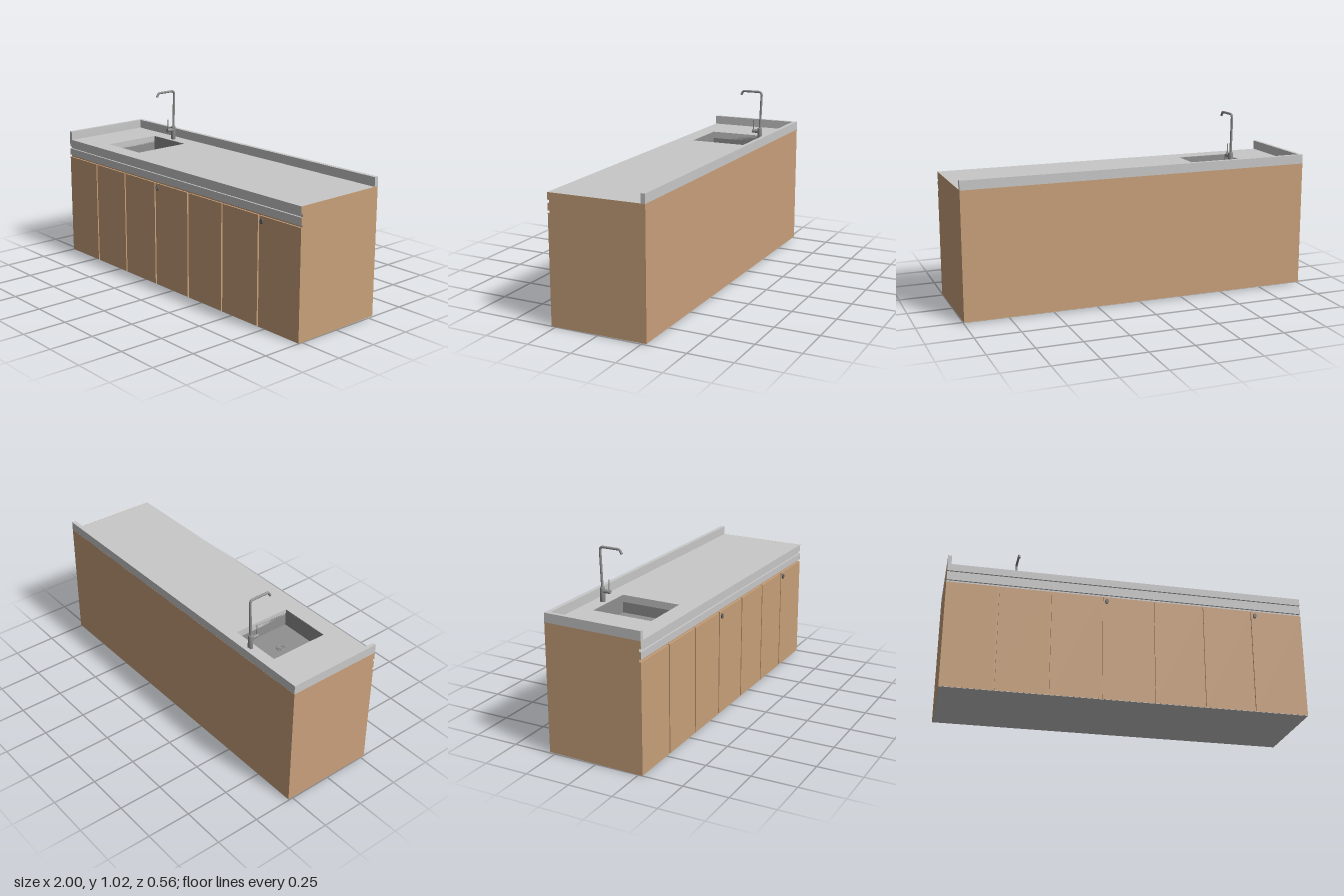
import * as THREE from 'three';

const mat = (name, color, extra = {}) => Object.assign(new THREE.MeshStandardMaterial({ color, ...extra }), { name });

export function createModel() {
  const group = new THREE.Group();
  group.name = 'sinkUnit';
  const wood = mat('wood', 0xc8a07a);
  const worktop = mat('worktop grey', 0xc8c8c8);
  const steel = mat('steel', 0x909090);
  const dark = mat('dark metal', 0x606060);

  // The whole unit rises slightly towards the back
  const shear = new THREE.Matrix4().set(1, 0, 0, 0, 0, 1, -0.011, 0.003, 0, 0, 1, 0, 0, 0, 0, 1);
  const add = (name, geo, material) => {
    geo.applyMatrix4(shear);
    geo.computeBoundingSphere();
    const mesh = new THREE.Mesh(geo, material);
    mesh.name = name;
    group.add(mesh);
    return mesh;
  };
  // Box given by its limits
  const box = (name, m, x0, x1, y0, y1, z0, z1) => add(name,
    new THREE.BoxGeometry(x1 - x0, y1 - y0, z1 - z0)
      .translate((x0 + x1) / 2, (y0 + y1) / 2, (z0 + z1) / 2), m);

  const T = 0.712, F = 0.275, R = 0.265, B = -0.28, E = 0.9985;

  // Worktop slab with the sink cut-out
  const sx0 = -0.724, sx1 = -0.428, sz0 = -0.17, sz1 = 0.175;
  const top = new THREE.Shape([[-E, -F], [E, -F], [E, 0.278], [-E, 0.278]].map(p => new THREE.Vector2(...p)));
  top.holes.push(new THREE.Path([[sx0, -sz1], [sx0, -sz0], [sx1, -sz0], [sx1, -sz1]].map(p => new THREE.Vector2(...p))));
  add('worktop', new THREE.ExtrudeGeometry(top, { depth: 0.04, bevelEnabled: false })
    .rotateX(-Math.PI / 2).translate(0, T - 0.04, 0), worktop);

  // Upstands along the back and the right end
  box('backUpstand', worktop, -1, 1, T, T + 0.051, B, -0.256);
  box('endUpstand', worktop, -1, -0.979, T, T + 0.051, -0.256, F);

  // Grey front rail between two finger grooves
  box('grooveBacking', worktop, -E, E, 0.609, T - 0.04, 0.25, R);
  box('frontRail', worktop, -E, E, 0.617, 0.656, R, F);

  // End panels with the groove profile
  const profile = [[B, 0], [F, 0], [F, 0.603], [R, 0.603], [R, 0.617], [F, 0.617], [F, 0.656],
    [R, 0.656], [R, 0.672], [F, 0.672], [F, T], [B, T]];
  for (const side of [-1, 1]) {
    const shape = new THREE.Shape(profile.map(([z, y]) => new THREE.Vector2(-z, y)));
    add(side > 0 ? 'leftEndPanel' : 'rightEndPanel',
      new THREE.ExtrudeGeometry(shape, { depth: 0.0015, bevelEnabled: false })
        .rotateY(Math.PI / 2).translate(side > 0 ? E : -1, 0, 0), wood);
  }

  // Carcass
  box('backPanel', wood, -E, E, 0.002, T - 0.0005, B, -0.2785);
  box('frontCarcass', wood, -E, E, 0.002, 0.609, 0.25, R);
  box('base', worktop, -E, E, 0, 0.002, B, F - 0.001);

  // Seven doors
  const seams = [-1, -0.719, -0.434, -0.15, 0.139, 0.42, 0.7, 1];
  for (let i = 0; i < 7; i++) {
    box('door' + (i + 1), wood, i ? seams[i] + 0.005 : -E, i < 6 ? seams[i + 1] - 0.005 : E,
      0.002, 0.603, R, F);
  }

  // Locks
  for (const x of [-0.125, 0.725]) {
    add('lock', new THREE.CylinderGeometry(0.01, 0.01, 0.008, 20).rotateX(Math.PI / 2)
      .scale(1, 1.4, 1).translate(x, 0.577, F + 0.004), dark);
    box('lockSlot', steel, x - 0.002, x + 0.002, 0.57, 0.584, F + 0.008, F + 0.009);
  }

  // Sink basin
  const sb = 0.612, w = 0.004;
  box('basinFloor', steel, sx0 - w, sx1 + w, sb - w, sb, sz0 - w, sz1 + w);
  box('basinWallRight', steel, sx0 - w, sx0, sb, T - 0.002, sz0, sz1);
  box('basinWallLeft', steel, sx1, sx1 + w, sb, T - 0.002, sz0, sz1);
  box('basinWallBack', steel, sx0, sx1, sb, T - 0.002, sz0 - w, sz0 + 0.001);
  box('basinWallFront', steel, sx0, sx1, sb, T - 0.002, sz1 - 0.001, sz1 + w);

  // Drain
  const fx = -0.576;
  add('drainRing', new THREE.TorusGeometry(0.021, 0.004, 8, 32).rotateX(Math.PI / 2).translate(fx, sb + 0.001, 0.01), steel);
  add('drainPlug', new THREE.CylinderGeometry(0.012, 0.012, 0.004, 24).translate(fx, sb + 0.002, 0.01), steel);

  // Tap body, neck and lever
  const fz = -0.203;
  add('tapBody', new THREE.LatheGeometry([[0, 0], [0.014, 0], [0.014, 0.076], [0.011, 0.081], [0, 0.081]]
    .map(p => new THREE.Vector2(...p)), 24).translate(fx, T, fz), steel);
  const v = (y, z) => new THREE.Vector3(fx, y, z);
  const path = new THREE.CurvePath();
  path.add(new THREE.LineCurve3(v(0.78, fz), v(0.988, -0.211)));
  path.add(new THREE.QuadraticBezierCurve3(v(0.988, -0.211), v(1.01, -0.212), v(1.01, -0.19)));
  path.add(new THREE.LineCurve3(v(1.01, -0.19), v(1.01, -0.102)));
  path.add(new THREE.QuadraticBezierCurve3(v(1.01, -0.102), v(1.01, -0.093), v(1.004, -0.089)));
  path.add(new THREE.LineCurve3(v(1.004, -0.089), v(0.987, -0.079)));
  add('tapNeck', new THREE.TubeGeometry(path, 80, 0.0068, 14, false), steel);
  add('tapOutlet', new THREE.CircleGeometry(0.0068, 14).rotateX(1.04).translate(fx, 0.987, -0.079), steel)
    .material = mat('steel outlet', 0x909090, { side: THREE.DoubleSide });
  add('leverHub', new THREE.CylinderGeometry(0.011, 0.011, 0.05, 20).rotateX(Math.PI / 2)
    .translate(fx, 0.771, -0.18), steel);
  add('lever', new THREE.CylinderGeometry(0.003, 0.003, 0.068, 10).translate(fx, 0.804, -0.162), steel);

  return group;
}
